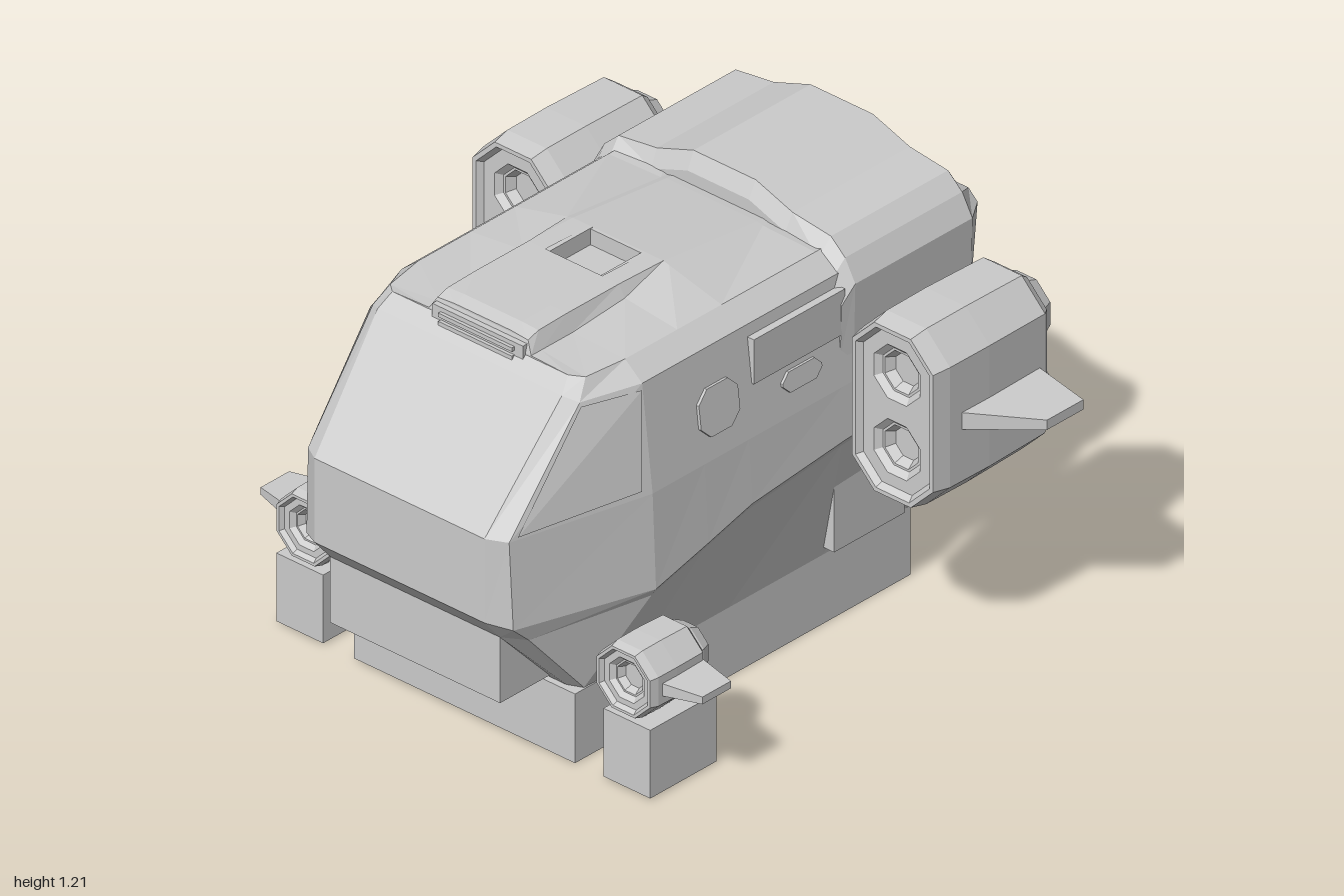
import * as THREE from 'three';

const mat = new THREE.MeshStandardMaterial({ color: 0xcccccc, flatShading: true, side: THREE.DoubleSide });

function add(parent, name, geo, x = 0, y = 0, z = 0) {
  const m = new THREE.Mesh(geo, mat);
  m.name = name;
  m.position.set(x, y, z);
  parent.add(m);
  return m;
}

// box given by its limits
const block = (parent, name, x0, x1, y0, y1, z0, z1) =>
  add(parent, name, new THREE.BoxGeometry(x1 - x0, y1 - y0, z1 - z0), (x0 + x1) / 2, (y0 + y1) / 2, (z0 + z1) / 2);

function quadGeometry(quads) {
  const pos = [];
  for (const [a, b, c, d] of quads) pos.push(...a, ...b, ...c, ...a, ...c, ...d);
  const g = new THREE.BufferGeometry();
  g.setAttribute('position', new THREE.Float32BufferAttribute(pos, 3));
  g.computeVertexNormals();
  return g;
}

const flip = ([x, y, z]) => [-x, y, z];
const mirrored = half => [...half, ...half.map(flip).reverse()];

// joins mirrored rings from front to back, closing the chosen ends
function loft(halves, { front = true, back = true, skip = () => false, backFrom = 0 } = {}) {
  const rings = halves.map(mirrored), n = rings[0].length, quads = [];
  for (let i = 0; i < rings.length - 1; i++)
    for (let k = 0; k < n; k++) {
      if (skip(i, k)) continue;
      const j = (k + 1) % n;
      quads.push([rings[i][k], rings[i + 1][k], rings[i + 1][j], rings[i][j]]);
    }
  const cap = (r, k) => [r[k], r[k + 1], r[n - 2 - k], r[n - 1 - k]];
  for (let k = 0; k < n / 2 - 1; k++) {
    if (front) quads.push(cap(rings[0], k));
    if (back && k >= backFrom) quads.push(cap(rings[rings.length - 1], k).reverse());
  }
  return quadGeometry(quads);
}

// half of a chamfered rectangle
const octagon = (w, h, c, z) => [[w - c, -h, z], [w, c - h, z], [w, h - c, z], [w - c, h, z]];

// eight-sided turned part along z; points are [radius, z]
function turned(points) {
  const g = new THREE.LatheGeometry(points.map(p => new THREE.Vector2(...p)), 8, Math.PI / 8);
  return g.rotateX(Math.PI / 2);
}

// thruster with recessed front intakes, rear nozzles and a side fin, pointing outward to +x
function thruster(name, { w, h, c, z0, z1, ends, r, fin }) {
  const pod = new THREE.Group();
  pod.name = name;
  const len = z0 - z1, recess = 0.2 * r;
  const section = (s, z) => octagon(w * s, h - w * (1 - s), c * s, z);
  const plate = section(0.76, z0 - recess);
  const outer = [[0.92, 0], [0.99, 0.12], [1, 0.45], [0.97, 0.93], [0.82, 1]].map(([s, t]) => section(s, z0 - len * t));
  add(pod, 'thrusterBody', loft([plate, section(0.84, z0), ...outer], { front: false }));
  // front plate with intake openings
  const face = new THREE.Shape(mirrored(plate).map(p => new THREE.Vector2(p[0], p[1])));
  for (const y of ends) {
    const hole = [];
    for (let k = 0; k < 8; k++) {
      const a = Math.PI / 8 - k * Math.PI / 4;
      hole.push(new THREE.Vector2(r * Math.cos(a), y + r * Math.sin(a)));
    }
    face.holes.push(new THREE.Path(hole));
    add(pod, 'intake', turned([[r, 0], [r * 0.8, -r * 0.2], [r * 0.72, -r * 0.2], [r * 0.55, -r * 0.5], [0, -r * 0.5]]), 0, y, z0 - recess);
    add(pod, 'nozzle', turned([[r * 1.3, 0.04], [r * 1.3, -0.01], [r * 1.02, -r * 0.7], [r * 0.76, -r * 0.7], [r * 0.6, -r * 0.1], [0, -r * 0.1]]), 0, y, z1);
  }
  add(pod, 'intakePlate', new THREE.ShapeGeometry(face), 0, 0, z0 - recess);
  // tapered fin
  const rib = (x, t, za, zb) => [[x, -t, za], [x, t, za], [x, t, zb], [x, -t, zb]];
  const A = rib(w - 0.02, fin.t, ...fin.root), B = rib(fin.tip, fin.t * 0.55, ...fin.end);
  const sides = A.map((p, k) => [p, A[(k + 1) % 4], B[(k + 1) % 4], B[k]].reverse());
  add(pod, 'fin', quadGeometry([...sides, [...B].reverse()]));
  return pod;
}

// panel with cut corners, lying in the z-y plane
function sidePanel(w, h, r, depth) {
  const s = new THREE.Shape(), a = w / 2, b = h / 2;
  s.moveTo(r - a, -b).lineTo(a - r, -b).lineTo(a, r - b).lineTo(a, b - r)
    .lineTo(a - r, b).lineTo(r - a, b).lineTo(-a, b - r).lineTo(-a, r - b).closePath();
  return new THREE.ExtrudeGeometry(s, { depth, bevelEnabled: false }).rotateY(Math.PI / 2);
}

export function createModel() {
  const model = new THREE.Group();
  model.name = 'dropship';

  // hull sections, each listed from the floor edge up to the roof centre
  const nose = [[0.34, 0.21, 0.63], [0.3, 0.43, 0.84], [0.3, 0.5, 0.9], [0.3, 0.755, 0.9], [0.325, 1.08, 0.63],
    [0.31, 1.12, 0.59], [0.18, 1.125, 0.59], [0.16, 1.16, 0.58], [0.1, 1.165, 0.58]];
  const cheek = [[0.385, 0.21, 0.61], [0.365, 0.43, 0.8], [0.365, 0.485, 0.86], [0.355, 0.75, 0.865], [0.365, 1.065, 0.605],
    [0.345, 1.115, 0.56], [0.18, 1.125, 0.55], [0.16, 1.172, 0.54], [0.1, 1.175, 0.54]];
  const mid = (z, yc, ys, yt) => [[0.39, 0.21, z], [0.458, yc - 0.025, z], [0.474, yc, z], [0.462, 0.75, z],
    [0.425, 1.07, z], [0.365, 1.12, z], [0.18, ys, z], [0.16, yt, z], [0.1, yt, z]];
  const tail = [[0.375, 0.165, -0.64], [0.43, 0.6, -0.825], [0.44, 0.63, -0.845], [0.41, 0.85, -0.845],
    [0.4, 1.0, -0.8], [0.36, 1.05, -0.78], [0.18, 1.08, -0.78], [0.16, 1.08, -0.78], [0.1, 1.08, -0.78]];
  const sections = [nose, cheek, mid(0.43, 0.465, 1.125, 1.175), mid(0.23, 0.515, 1.14, 1.175),
    mid(0.06, 0.56, 1.165, 1.17), mid(-0.3, 0.595, 1.125, 1.13), mid(-0.62, 0.615, 1.08, 1.085), tail];
  add(model, 'hull', loft(sections, { skip: (i, k) => i === 3 && k === 8, backFrom: 1 }));

  // roof hatch well
  block(model, 'hatchFloor', -0.1, 0.1, 1.1, 1.12, 0.06, 0.23);
  for (const s of [-1, 1]) {
    block(model, 'hatchSide', s * 0.1 - 0.01, s * 0.1 + 0.01, 1.1, 1.17, 0.06, 0.23);
    block(model, 'hatchEnd', -0.1, 0.1, 1.1, 1.168, 0.145 + s * 0.085 - 0.008, 0.145 + s * 0.085 + 0.008);
  }

  // rear doorway frame and cargo bay
  const sill = [0.29, 0.24, -0.672], lintel = [0.35, 0.57, -0.812];
  const [a, b] = tail;
  add(model, 'doorFrame', quadGeometry([
    [a, sill, lintel, b], [flip(b), flip(lintel), flip(sill), flip(a)],
    [a, flip(a), flip(sill), sill], [lintel, flip(lintel), flip(b), b]]));
  add(model, 'cargoBay', loft([[[0.34, 0.23, 0.1], [0.38, 0.85, 0.1]], [[0.34, 0.23, -0.6], [0.38, 0.85, -0.6]],
    [sill, lintel]], { back: false }));
  block(model, 'cargoConsole', -0.08, 0.12, 0.36, 0.5, -0.02, 0.1);
  block(model, 'cargoShelf', -0.12, 0.16, 0.34, 0.37, -0.1, 0.1);
  block(model, 'cargoCrate', -0.3, -0.16, 0.23, 0.45, -0.1, 0.08);

  // nose intake on the roof
  block(model, 'roofIntake', -0.16, 0.16, 1.09, 1.15, 0.55, 0.6);
  for (const y of [1.1, 1.125]) block(model, 'intakeSlat', -0.13, 0.13, y, y + 0.012, 0.59, 0.61);

  // side windows, set just proud of the hull
  const p = sections[2];
  const lerp = (u, v, t) => u.map((q, k) => q + (v[k] - q) * t);
  const corner = (u, v) => lerp(lerp(cheek[3], p[3], u), lerp(cheek[4], p[4], u), v);
  const pane = [corner(0.04, 0.03), corner(0.92, 0.06), corner(0.98, 0.95), corner(0.04, 0.97)]
    .map(([x, y, z]) => [x + 0.005, y, z + 0.002]);
  add(model, 'sideWindow', quadGeometry([pane, [...pane].map(flip).reverse()]));

  // rear roof housing with an undercut tail lip
  const shell = [[0.456, 0.83], [0.461, 1.04], [0.425, 1.105], [0.375, 1.15], [0.24, 1.167], [0.11, 1.213]];
  const housing = (z, s, top, drop = 0, lip = 0) => shell.map(([x, y], k) =>
    [x * s, Math.min(k ? y - drop : y, top), z + (k ? 0 : lip) - (drop && k > 3 ? 0.02 : 0)]);
  add(model, 'rearHousing', loft([housing(-0.305, 0.985, 2, 0.05), housing(-0.35, 1, 2), housing(-0.8, 1, 2),
    housing(-0.87, 0.9, 1.07, 0, 0.03), housing(-0.9, 0.81, 0.88, 0, 0.04)]));

  // chin and belly
  block(model, 'chinBox', -0.3, 0.3, 0.23, 0.43, 0.4, 0.84);
  block(model, 'baseBlock', -0.39, 0.39, 0, 0.21, -0.64, 0.65);
  block(model, 'baseSlot', -0.05, 0.05, 0.08, 0.09, 0.64, 0.653);
  block(model, 'chinLatch', -0.09, 0.09, 0.21, 0.23, 0.6, 0.66);

  // everything repeated on both flanks
  for (const s of [1, -1]) {
    const flank = new THREE.Group();
    flank.name = s > 0 ? 'leftFlank' : 'rightFlank';
    flank.scale.x = s;
    model.add(flank);

    const main = thruster('mainThruster', { w: 0.155, h: 0.268, c: 0.085, z0: -0.265, z1: -0.72, ends: [0.113, -0.113], r: 0.088,
      fin: { t: 0.027, tip: 0.33, root: [-0.35, -0.67], end: [-0.5, -0.64] } });
    main.position.set(0.67, 0.765, 0);
    const small = thruster('landingThruster', { w: 0.102, h: 0.102, c: 0.058, z0: 0.655, z1: 0.442, ends: [0], r: 0.066,
      fin: { t: 0.02, tip: 0.215, root: [0.62, 0.45], end: [0.585, 0.475] } });
    small.position.set(0.565, 0.32, 0);
    flank.add(main, small);

    block(flank, 'landingFoot', 0.495, 0.66, 0.005, 0.212, 0.4, 0.655);
    block(flank, 'lowerPanel', 0.3, 0.432, 0.235, 0.45, -0.57, -0.3);
    block(flank, 'upperPanel', 0.38, 0.452, 0.9, 1.035, -0.32, 0.03);
    const cabin = add(flank, 'cabinWindow', sidePanel(0.15, 0.14, 0.035, 0.01), 0.445, 0.89, 0.165);
    const rear = add(flank, 'rearWindow', sidePanel(0.15, 0.06, 0.025, 0.01), 0.449, 0.85, -0.15);
    cabin.rotation.z = rear.rotation.z = 0.12;
  }
  return model;
}
